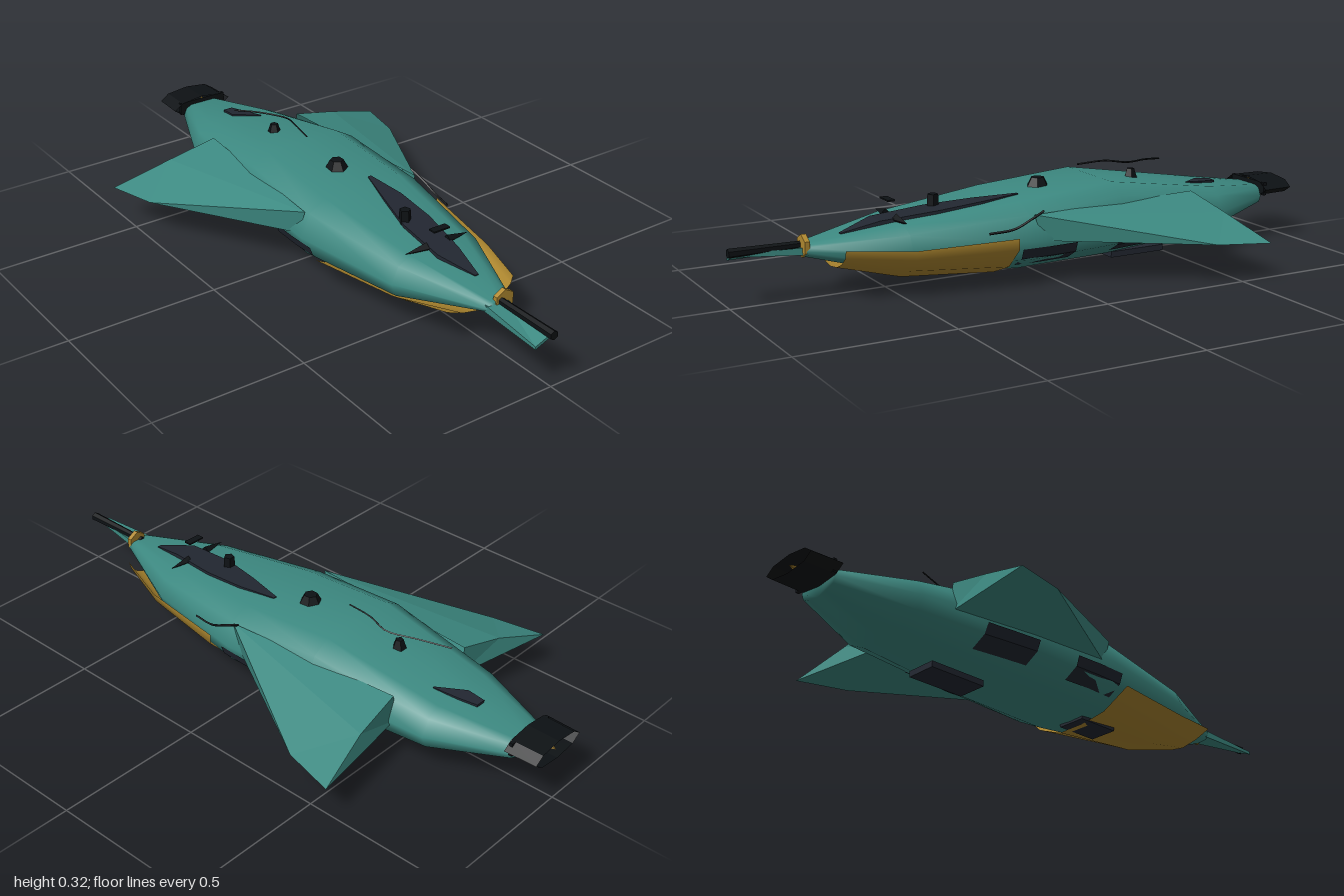
import * as THREE from 'three';

const mat = (color, flatShading = true) => new THREE.MeshStandardMaterial({ color, flatShading, side: THREE.DoubleSide });
const TEAL = 0x3d8a82, GOLD = 0xb08930, DARK = 0x222731, BLACK = 0x0d1114;

// Skin over rings of [x, y, z] points, counterclockwise from the front, back to front
function loft(rings, closed = true) {
  const n = rings[0].length, idx = [];
  for (let i = 0; i < rings.length - 1; i++) {
    for (let j = 0; j < (closed ? n : n - 1); j++) {
      const k = (j + 1) % n, a = i * n + j, b = i * n + k;
      idx.push(a, b, b + n, a, b + n, a + n);
    }
  }
  if (closed) {
    const last = (rings.length - 1) * n;
    for (let j = 1; j < n - 1; j++) idx.push(0, j + 1, j, last, last + j, last + j + 1);
  }
  return faces(rings.flat(), idx);
}

function faces(points, idx) {
  const g = new THREE.BufferGeometry();
  g.setAttribute('position', new THREE.Float32BufferAttribute(points.flat(), 3));
  g.setIndex(idx);
  g.computeVertexNormals();
  return g;
}

// Hull stations: z, half width, bottom, top
const stations = [
  [-0.89, 0.08, 0.11, 0.185], [-0.65, 0.18, 0.055, 0.215], [-0.24, 0.23, 0.03, 0.28],
  [0.1, 0.238, 0.026, 0.253], [0.48, 0.172, 0.055, 0.215], [0.77, 0.045, 0.135, 0.172],
];
const halfProfile = [[0.5, -0.93], [0.9, -0.5], [1, 0.05], [0.86, 0.72], [0.6, 1]];
const profile = [[0, -1], ...halfProfile, [0, 1], ...halfProfile.map(([x, y]) => [-x, y]).reverse()];

// Interpolated hull station at any z
function hullAt(z) {
  let i = 0;
  while (i < stations.length - 2 && z > stations[i + 1][0]) i++;
  const a = stations[i], b = stations[i + 1], t = (z - a[0]) / (b[0] - a[0]);
  return a.map((v, k) => v + (b[k] - v) * t);
}

// Point on the flank at height y, pushed out by d
function flankX(z, y, d) {
  const [, w, lo, hi] = hullAt(z), v = (y - (lo + hi) / 2) / ((hi - lo) / 2);
  for (let i = 0; i < halfProfile.length - 1; i++) {
    const a = halfProfile[i], b = halfProfile[i + 1];
    if (v <= b[1]) return w * (a[0] + (b[0] - a[0]) * (v - a[1]) / (b[1] - a[1])) + d;
  }
  return w;
}

export function createModel() {
  const model = new THREE.Group();
  const add = (name, geo, color, pos = [0, 0, 0], flat = true) => {
    const m = new THREE.Mesh(geo, mat(color, flat));
    m.name = name;
    m.position.set(...pos);
    model.add(m);
    return m;
  };

  // Fuselage
  add('hull', loft(stations.map(([z, w, lo, hi]) =>
    profile.map(([x, y]) => [x * w, (lo + hi) / 2 + y * (hi - lo) / 2, z]))), TEAL, [0, 0, 0], false);

  // Swept wings with a ridge on top
  const wing = faces([
    [0.215, 0.225, 0.09], [0.17, 0.225, -0.53], [0.335, 0.185, -0.545], [0.49, 0.127, -0.41],
    [0.53, 0.12, -0.585], [0.22, 0.14, 0.06], [0.16, 0.13, -0.53],
  ], [0, 2, 1, 0, 3, 2, 3, 4, 2, 0, 5, 3, 5, 6, 4, 5, 4, 3, 1, 2, 6, 2, 4, 6]);
  add('leftWing', wing, TEAL);
  add('rightWing', wing, TEAL).scale.x = -1;

  // Open armour shell under the nose
  const shell = [
    [0.16, [[-0.225, 0.09], [-0.12, 0.035], [-0.02, 0.02], [0.08, 0.02], [0.18, 0.06], [0.25, 0.13], [0.25, 0.165]]],
    [0.48, [[-0.17, 0.1], [-0.11, 0.06], [-0.02, 0.045], [0.07, 0.046], [0.14, 0.08], [0.19, 0.125], [0.197, 0.155]]],
    [0.68, [[-0.12, 0.125], [-0.06, 0.102], [0, 0.09], [0.05, 0.097], [0.09, 0.115], [0.12, 0.14], [0.127, 0.165]]],
  ];
  add('bellyArmour', loft(shell.map(([z, pts]) => pts.map(([x, y]) => [x, y, z])), false), GOLD, [0, 0, 0], false);

  // Dark strips that follow the top of the hull: z, left edge, right edge, rise
  const strip = (rows) => loft(rows.map(([z, a, b, rise]) => {
    const y = hullAt(z)[3];
    return [[a, y - 0.02, z], [b, y - 0.02, z], [b, y + rise, z], [a, y + rise, z]];
  }));
  add('canopy', strip([
    [0.06, 0.048, 0.06, 0.003], [0.2, 0.008, 0.075, 0.008], [0.35, -0.03, 0.07, 0.01],
    [0.53, -0.04, 0.04, 0.013], [0.65, 0.005, 0.018, 0.003],
  ]), DARK);
  add('rearHatch', strip([[-0.73, -0.008, 0.025, 0.008], [-0.67, -0.01, 0.042, 0.006], [-0.59, 0.055, 0.06, 0.003]]), DARK);

  // Flank panels
  for (const side of [1, -1]) {
    for (const z0 of [-0.06, -0.415]) {
      const rows = [0, 0.5, 1].map((t) => [0.06, 0.09, 0.123].map((y) => {
        const z = z0 + t * 0.195;
        return [flankX(z, y, 0.005), y, z];
      }));
      add('flankPanel', loft(rows, false), DARK).scale.x = side;
    }
  }

  // Belly plates
  add('bellyPlate', new THREE.BoxGeometry(0.105, 0.02, 0.205), DARK, [0, 0.01, -0.4]);
  add('frontBellyPlate', new THREE.BoxGeometry(0.1, 0.014, 0.15), DARK, [0, 0.029, 0.205]);

  // Tail nozzle with its glowing core
  const nozzle = add('nozzle', new THREE.CylinderGeometry(0.112, 0.108, 0.11, 8, 1, true), BLACK, [-0.004, 0.175, -0.945]);
  nozzle.rotation.x = Math.PI / 2;
  nozzle.scale.z = 0.28;
  const core = add('nozzleCore', new THREE.ConeGeometry(0.07, 0.1, 4), GOLD, [0, 0.175, -0.945]);
  core.rotation.x = -Math.PI / 2;
  core.scale.z = 0.35;
  add('nozzleWall', new THREE.BoxGeometry(0.18, 0.045, 0.012), BLACK, [0, 0.175, -0.9]);

  // Nose boom, barrel and collar
  add('noseBoom', loft([
    [[-0.045, 0.14, 0.74], [0.03, 0.14, 0.74], [0.03, 0.165, 0.74], [-0.045, 0.165, 0.74]],
    [[-0.054, 0.135, 0.985], [-0.005, 0.155, 0.985], [-0.005, 0.165, 0.985], [-0.054, 0.145, 0.985]],
  ]), TEAL);
  const barrel = add('barrel', new THREE.CylinderGeometry(0.015, 0.011, 0.25, 6), BLACK, [0, 0.17, 0.875]);
  barrel.rotation.x = Math.PI / 2;
  const collar = add('collar', new THREE.CylinderGeometry(0.036, 0.036, 0.016, 6), GOLD, [0.013, 0.168, 0.768]);
  collar.rotation.x = Math.PI / 2;

  // Roof fittings
  add('roofDome', new THREE.CylinderGeometry(0.022, 0.038, 0.03, 6), BLACK, [0, 0.276, -0.045]);
  add('rearSensor', new THREE.CylinderGeometry(0.013, 0.026, 0.04, 5), BLACK, [-0.005, 0.262, -0.405]);
  add('frontSensor', new THREE.CylinderGeometry(0.018, 0.02, 0.045, 5), BLACK, [-0.008, 0.252, 0.328]);
  for (const side of [1, -1]) {
    const fin = add('roofFin', new THREE.ConeGeometry(0.016, 0.08, 4), BLACK, [side * 0.079, 0.222, 0.475]);
    fin.rotation.z = side * -Math.PI / 2;
    add('noseAerial', new THREE.BoxGeometry(0.03, 0.005, 0.025), BLACK, [side * 0.015, 0.277, 0.486]);
  }

  // Cables
  const cable = (name, pts, r) => add(name, new THREE.TubeGeometry(
    new THREE.CatmullRomCurve3(pts.map((p) => new THREE.Vector3(...p))), 16, r, 4), BLACK);
  cable('roofCable', [[-0.01, 0.315, -0.2], [0.005, 0.32, -0.3], [0.02, 0.31, -0.37], [-0.02, 0.303, -0.47], [-0.065, 0.29, -0.56]], 0.003);
  cable('flankCable', [[0.222, 0.185, 0.25], [0.232, 0.192, 0.17], [0.23, 0.215, 0.11], [0.222, 0.235, 0.06]], 0.004);

  return model;
}
